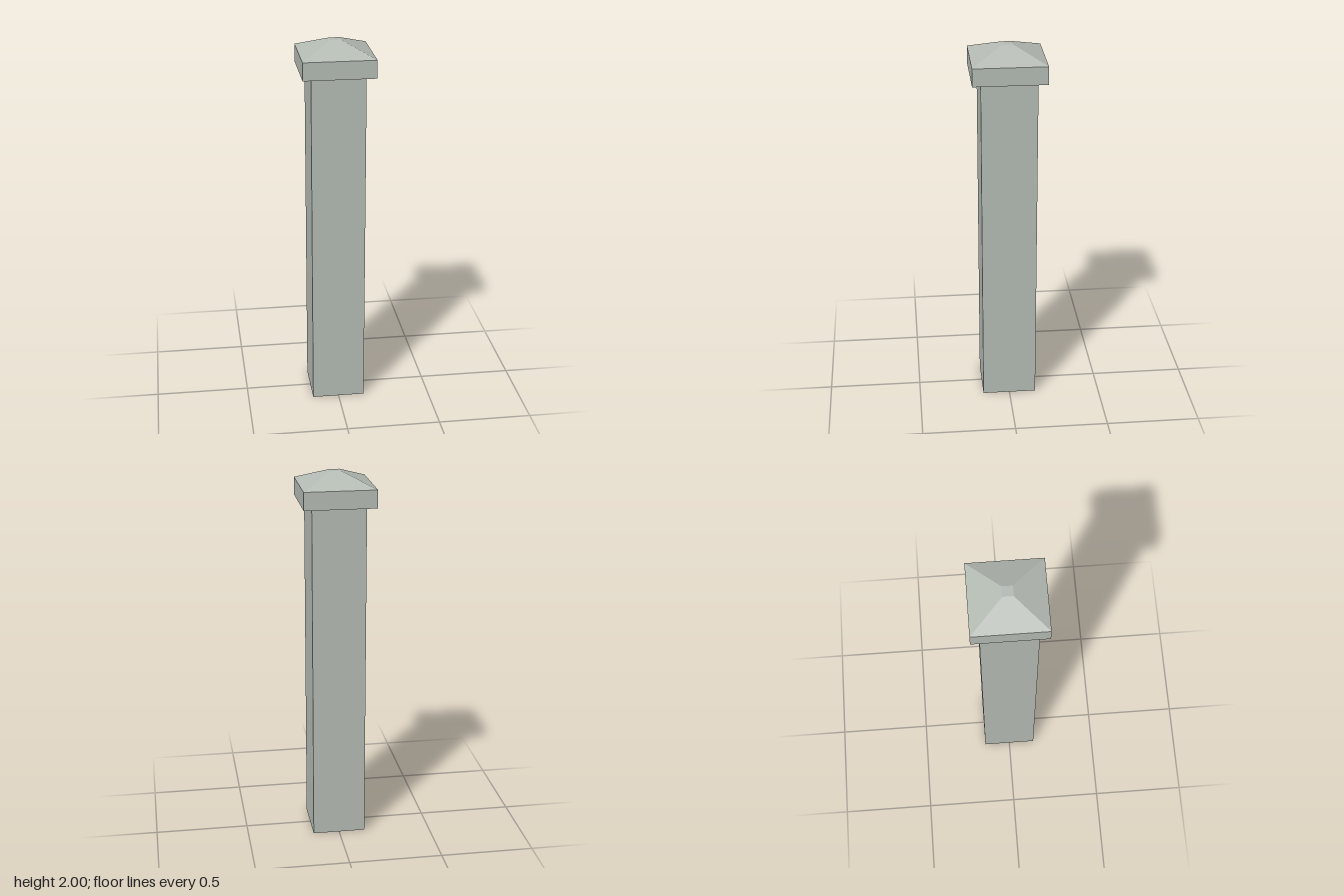
import * as THREE from 'three';

const stone = new THREE.MeshStandardMaterial({ color: 0xb5bcb4 });
stone.name = 'pale grey stone';

// Box standing on y0, with an optional smaller top face
function block(name, halfX, halfZ, y0, y1, topX = halfX, topZ = halfZ) {
  const h = y1 - y0;
  const box = new THREE.BoxGeometry(2, h, 2);
  const p = box.attributes.position;
  for (let i = 0; i < p.count; i++) {
    const top = p.getY(i) > 0;
    p.setX(i, p.getX(i) * (top ? topX : halfX));
    p.setZ(i, p.getZ(i) * (top ? topZ : halfZ));
  }
  box.computeVertexNormals();
  box.translate(0, y0 + h / 2, 0);
  const mesh = new THREE.Mesh(box, stone);
  mesh.name = name;
  return mesh;
}

export function createModel() {
  const post = new THREE.Group();
  post.name = 'post';
  post.add(
    block('shaft', 0.142, 0.146, 0, 1.836),
    block('capSlab', 0.189, 0.192, 1.836, 1.931),
    // Sloped cap with a small flat top
    block('capSlope', 0.189, 0.192, 1.931, 2, 0.027, 0.027),
  );
  return post;
}
